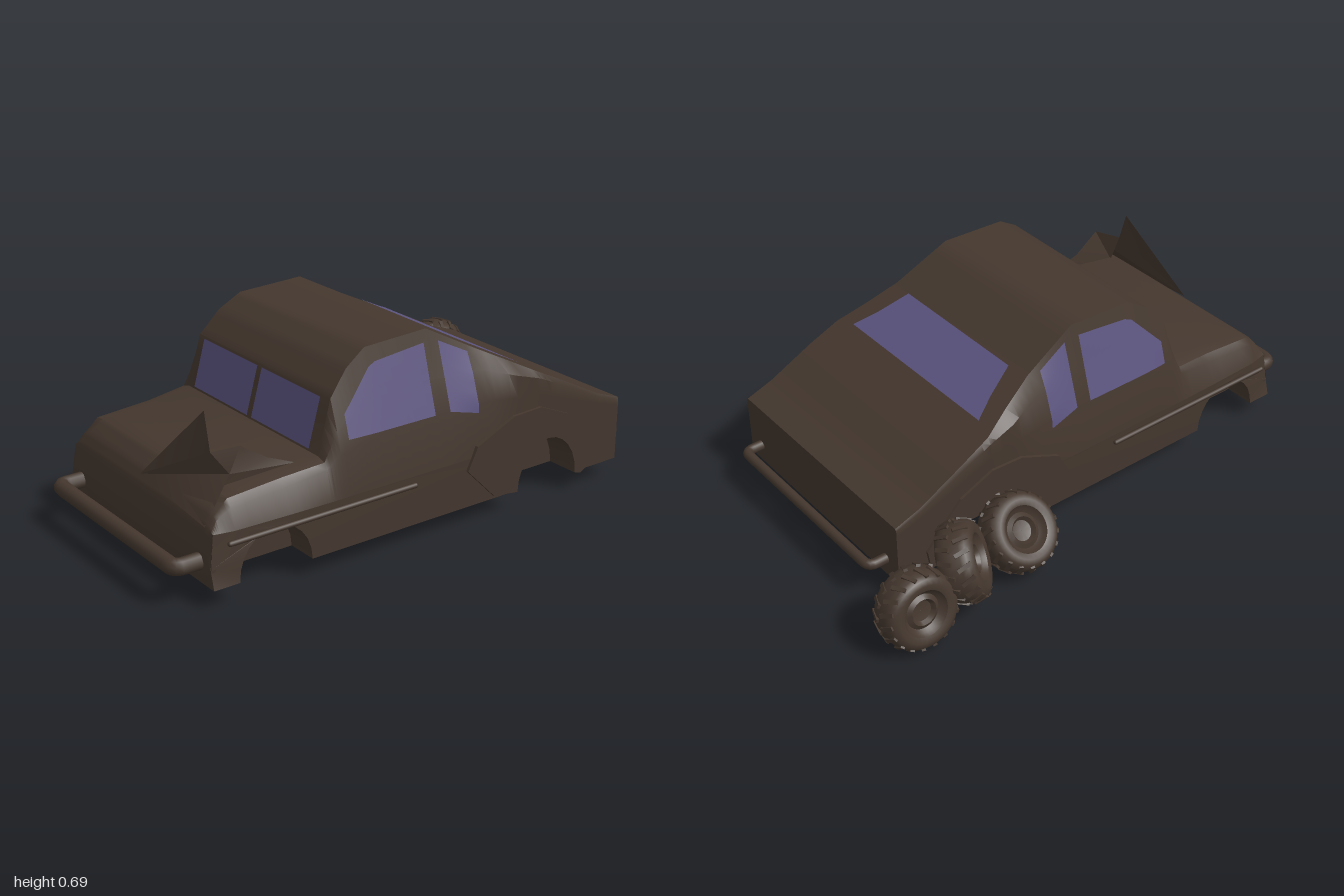
import * as THREE from 'three';
import { toCreasedNormals } from 'three/addons/utils/BufferGeometryUtils.js';

const paint = new THREE.MeshStandardMaterial({ color: 0x44372e, side: THREE.DoubleSide });
paint.name = 'rusty brown';
const glass = new THREE.MeshStandardMaterial({ color: 0x5b537e, side: THREE.DoubleSide });
glass.name = 'violet glass';

// Body sections from nose to tail: z, then half width / height from sill to roof edge
const SECTIONS = [
  [0.888, 0.44, 0.12, 0.435, 0.13, 0.43, 0.14, 0.42, 0.15],
  [0.872, 0.43, 0.24, 0.42, 0.245, 0.405, 0.25, 0.38, 0.255],
  [0.85, 0.435, 0.24, 0.415, 0.275, 0.4, 0.285, 0.37, 0.295],
  [0.8, 0.445, 0.24, 0.42, 0.305, 0.4, 0.33, 0.36, 0.335],
  [0.6, 0.452, 0.24, 0.42, 0.32, 0.4, 0.345, 0.36, 0.355],
  [0.45, 0.455, 0.24, 0.43, 0.34, 0.415, 0.36, 0.38, 0.37],
  [0.4, 0.455, 0.24, 0.435, 0.38, 0.414, 0.45, 0.378, 0.55],
  [0.33, 0.455, 0.24, 0.435, 0.4, 0.404, 0.5, 0.364, 0.63],
  [0.25, 0.455, 0.24, 0.432, 0.42, 0.398, 0.53, 0.352, 0.68],
  [0, 0.455, 0.24, 0.432, 0.42, 0.398, 0.53, 0.35, 0.69],
  [-0.2, 0.455, 0.24, 0.445, 0.42, 0.41, 0.52, 0.37, 0.585],
  [-0.32, 0.455, 0.24, 0.455, 0.41, 0.447, 0.485, 0.405, 0.525],
  [-0.42, 0.455, 0.24, 0.455, 0.4, 0.454, 0.455, 0.44, 0.475],
  [-0.53, 0.455, 0.24, 0.455, 0.36, 0.455, 0.405, 0.447, 0.422],
  [-0.7, 0.455, 0.24, 0.455, 0.3, 0.455, 0.325, 0.45, 0.335],
  [-0.8, 0.455, 0.24, 0.455, 0.27, 0.455, 0.292, 0.45, 0.3],
];
const FLOOR = 0.067;

function sectionAt(z) {
  let i = 0;
  while (i < SECTIONS.length - 2 && SECTIONS[i + 1][0] > z) i++;
  const a = SECTIONS[i], b = SECTIONS[i + 1];
  const t = THREE.MathUtils.clamp((a[0] - z) / (a[0] - b[0]), 0, 1);
  return a.map((v, k) => v + (b[k] - v) * t);
}

// Half width of the body side at a given z and height
function sideX(z, y) {
  const s = sectionAt(z);
  for (let k = 1; k < 7; k += 2) {
    if (y <= s[k + 3] || k === 5) return s[k] + (s[k + 2] - s[k]) * (y - s[k + 1]) / (s[k + 3] - s[k + 1]);
  }
}

function surface(points, index) {
  const g = new THREE.BufferGeometry();
  g.setAttribute('position', new THREE.Float32BufferAttribute(points.flat(), 3));
  g.setIndex(index);
  return toCreasedNormals(g, 0.6);
}

function add(parent, name, geometry, material = paint) {
  const m = new THREE.Mesh(geometry, material);
  m.name = name;
  parent.add(m);
}

// Box centred on x = 0 between two heights and two depths
function slab(parent, name, w, y0, y1, z0, z1) {
  const g = new THREE.BoxGeometry(w, y1 - y0, z1 - z0);
  add(parent, name, g.translate(0, (y0 + y1) / 2, (z0 + z1) / 2));
}

function upperBody() {
  const pts = [], idx = [], n = 8, steps = 4;
  const rows = (SECTIONS.length - 1) * steps;
  for (let r = 0; r <= rows; r++) {
    const i = Math.min(Math.floor(r / steps), SECTIONS.length - 2);
    const z = THREE.MathUtils.lerp(SECTIONS[i][0], SECTIONS[i + 1][0], r / steps - i);
    const s = sectionAt(z);
    for (let k = 1; k < 9; k += 2) pts.push([s[k], s[k + 1], z]);
    for (let k = 7; k > 0; k -= 2) pts.push([-s[k], s[k + 1], z]);
  }
  const last = rows * n;
  for (let i = 0; i < last; i += n) {
    for (let j = 0; j < n; j++) {
      const a = i + j, b = i + (j + 1) % n;
      idx.push(a, a + n, b, b, a + n, b + n);
    }
  }
  for (let j = 1; j < n - 1; j++) idx.push(0, j, j + 1, last, last + j + 1, last + j);
  return surface(pts, idx);
}

// Wheel arch cut traced from front to back along the sill
function arch(shape, z, rz, ry) {
  for (let i = 0; i <= 12; i++) {
    const a = Math.PI * i / 12;
    shape.lineTo(z + rz * Math.cos(a), FLOOR + ry * Math.sin(a));
  }
}

function sideExtrude(shape, depth, outer, side) {
  const g = new THREE.ExtrudeGeometry(shape, { depth, bevelEnabled: false });
  return g.rotateY(-Math.PI / 2).translate(side > 0 ? outer : depth - outer, 0, 0);
}

function lowerSide(side) {
  const s = new THREE.Shape();
  s.moveTo(0.888, FLOOR);
  arch(s, 0.66, 0.135, 0.15);
  arch(s, -0.46, 0.135, 0.165);
  s.lineTo(-0.8, FLOOR);
  for (const z of [-0.8, 0, 0.25, 0.45, 0.6, 0.8, 0.85, 0.872]) s.lineTo(z, 0.24);
  s.lineTo(0.888, 0.13);
  const g = sideExtrude(s, 0.12, 0.455, side), p = g.attributes.position;
  // Lean the outer skin in toward the bonnet
  for (let i = 0; i < p.count; i++) {
    if (Math.abs(p.getX(i)) < 0.45) continue;
    const w = sectionAt(p.getZ(i));
    const lean = (0.455 - w[1]) * (p.getY(i) - FLOOR) / (w[2] - FLOOR);
    p.setX(i, side * (0.455 - lean));
  }
  return toCreasedNormals(g, 0.5);
}

function flare(side) {
  const s = new THREE.Shape();
  s.moveTo(-0.22, 0.08);
  arch(s, -0.46, 0.135, 0.165);
  for (const [z, y] of [[-0.62, 0.06], [-0.68, 0.09], [-0.69, 0.15], [-0.62, 0.23], [-0.55, 0.3],
    [-0.42, 0.355], [-0.3, 0.35], [-0.14, 0.28], [-0.1, 0.2]]) s.lineTo(z, y);
  return sideExtrude(s, 0.02, 0.465, side);
}

// Pane that follows the body side between two height lines
function sidePane(side, z0, z1, low, high) {
  const pts = [], idx = [], n = 12, m = 6;
  for (let i = 0; i <= n; i++) {
    const z = z0 + (z1 - z0) * i / n;
    for (let j = 0; j <= m; j++) {
      const y = low(z) + (high(z) - low(z)) * j / m;
      pts.push([side * (sideX(z, y) + 0.003), y, z]);
      if (i < n && j < m) {
        const a = i * (m + 1) + j, b = a + m + 1;
        if (side > 0) idx.push(a, b, a + 1, a + 1, b, b + 1);
        else idx.push(a, a + 1, b, a + 1, b + 1, b);
      }
    }
  }
  return surface(pts, idx);
}

function bumper(parent, name, zBody, zBar, y, half, r) {
  const c = Math.sign(zBar) * 0.03, path = new THREE.CurvePath();
  const v = (x, z) => new THREE.Vector3(x, y, z);
  path.add(new THREE.LineCurve3(v(-half, zBody), v(-half, zBar - c)));
  path.add(new THREE.QuadraticBezierCurve3(v(-half, zBar - c), v(-half, zBar), v(-half + 0.03, zBar)));
  path.add(new THREE.LineCurve3(v(-half + 0.03, zBar), v(half - 0.03, zBar)));
  path.add(new THREE.QuadraticBezierCurve3(v(half - 0.03, zBar), v(half, zBar), v(half, zBar - c)));
  path.add(new THREE.LineCurve3(v(half, zBar - c), v(half, zBody)));
  add(parent, name, new THREE.TubeGeometry(path, 80, r, 10));
}

function wheel(x, y, z, axis) {
  const g = new THREE.Group();
  g.name = 'looseWheel';
  const half = [[0.001, 0.025], [0.035, 0.03], [0.045, 0.045], [0.06, 0.035], [0.072, 0.045], [0.08, 0.058],
    [0.1, 0.064], [0.118, 0.057], [0.129, 0.042], [0.134, 0.022]];
  const profile = [...half, ...half.map(([r, h]) => [r, -h]).reverse()].reverse();
  const lathe = new THREE.LatheGeometry(profile.map(([r, h]) => new THREE.Vector2(r, h)), 32);
  add(g, 'tyre', toCreasedNormals(lathe, 0.7));
  // Staggered tread blocks, tilted to follow the shoulders
  for (let i = 0; i < 36; i++) {
    const s = i % 2 ? 1 : -1;
    const b = new THREE.BoxGeometry(0.01, 0.05, 0.014).rotateX(s * 0.35).rotateZ(s * 0.3);
    add(g, 'treadBlock', b.translate(0.13, s * 0.03, 0).rotateY(i * Math.PI / 18));
  }
  g.quaternion.setFromUnitVectors(new THREE.Vector3(0, 1, 0), new THREE.Vector3(...axis).normalize());
  g.position.set(x, y, z);
  return g;
}

export function createModel() {
  const model = new THREE.Group();
  model.name = 'wreckedCar';
  const car = new THREE.Group();
  car.name = 'carBody';
  car.position.x = 0.13;
  model.add(car);

  add(car, 'upperBody', upperBody());
  slab(car, 'underbody', 0.68, FLOOR, 0.24, -0.8, 0.868);
  slab(car, 'nosePanel', 0.88, FLOOR, 0.13, 0.85, 0.888);
  for (const side of [1, -1]) {
    add(car, 'lowerSide', lowerSide(side));
    add(car, 'rearFlare', flare(side));
    const rail = new THREE.CapsuleGeometry(0.009, 0.71, 4, 8).rotateX(Math.PI / 2);
    add(car, 'sideRail', rail.translate(side * 0.46, 0.21, 0.475));
    add(car, 'doorWindow', sidePane(side, 0.365, 0.02, () => 0.42,
      z => z > 0.24 ? 0.63 - (z - 0.24) * 1.05 : 0.65 - (z - 0.02) * 0.09), glass);
    add(car, 'rearSideWindow', sidePane(side, -0.04, -0.155,
      z => 0.42 + (z + 0.04) * 0.25, z => 0.645 + (z + 0.04) * 0.5), glass);
  }

  // Split windscreen and rear window
  for (const [x0, x1] of [[-0.34, -0.015], [0.01, 0.335]]) {
    const p = (x, y) => [x, y, 0.456 - (y - 0.37) * 0.278];
    add(car, 'windscreen', surface([p(x0, 0.38), p(x1, 0.38), p(x1, 0.545), p(x0, 0.545)], [0, 1, 2, 0, 2, 3]), glass);
  }
  add(car, 'rearWindow', surface([[-0.365, 0.491, -0.4], [0.365, 0.491, -0.4], [0.325, 0.53, -0.32],
    [0.285, 0.584, -0.213], [-0.285, 0.584, -0.213], [-0.325, 0.53, -0.32]],
  [0, 1, 2, 0, 2, 5, 5, 2, 3, 5, 3, 4]), glass);

  // Bumper bars
  bumper(car, 'frontBumper', 0.87, 0.972, 0.135, 0.37, 0.028);
  bumper(car, 'rearBumper', -0.79, -0.867, 0.135, 0.385, 0.018);

  // Torn, folded bonnet sheet
  const torn = [[0.13, 0.285, 0.87], [0.38, 0.56, 0.78], [0.425, 0.44, 0.79], [0.485, 0.465, 0.72],
    [0.5, 0.39, 0.77], [0.52, 0.25, 0.875], [0.49, 0.36, 0.52], [0.48, 0.4, 0.62], [0.46, 0.33, 0.78]];
  add(model, 'tornBonnet', surface(torn,
    [0, 2, 1, 0, 4, 2, 2, 4, 3, 0, 5, 4, 3, 4, 7, 7, 4, 6, 3, 7, 8, 7, 6, 8, 4, 5, 8, 2, 3, 8]));

  // Wheels heaped beside the tail
  model.add(wheel(-0.51, 0.142, -0.862, [-0.97, 0.2, 0]));
  model.add(wheel(-0.475, 0.19, -0.65, [-0.6, 0.3, 0.74]));
  model.add(wheel(-0.435, 0.152, -0.4, [-0.76, 0.65, 0.05]));
  return model;
}
